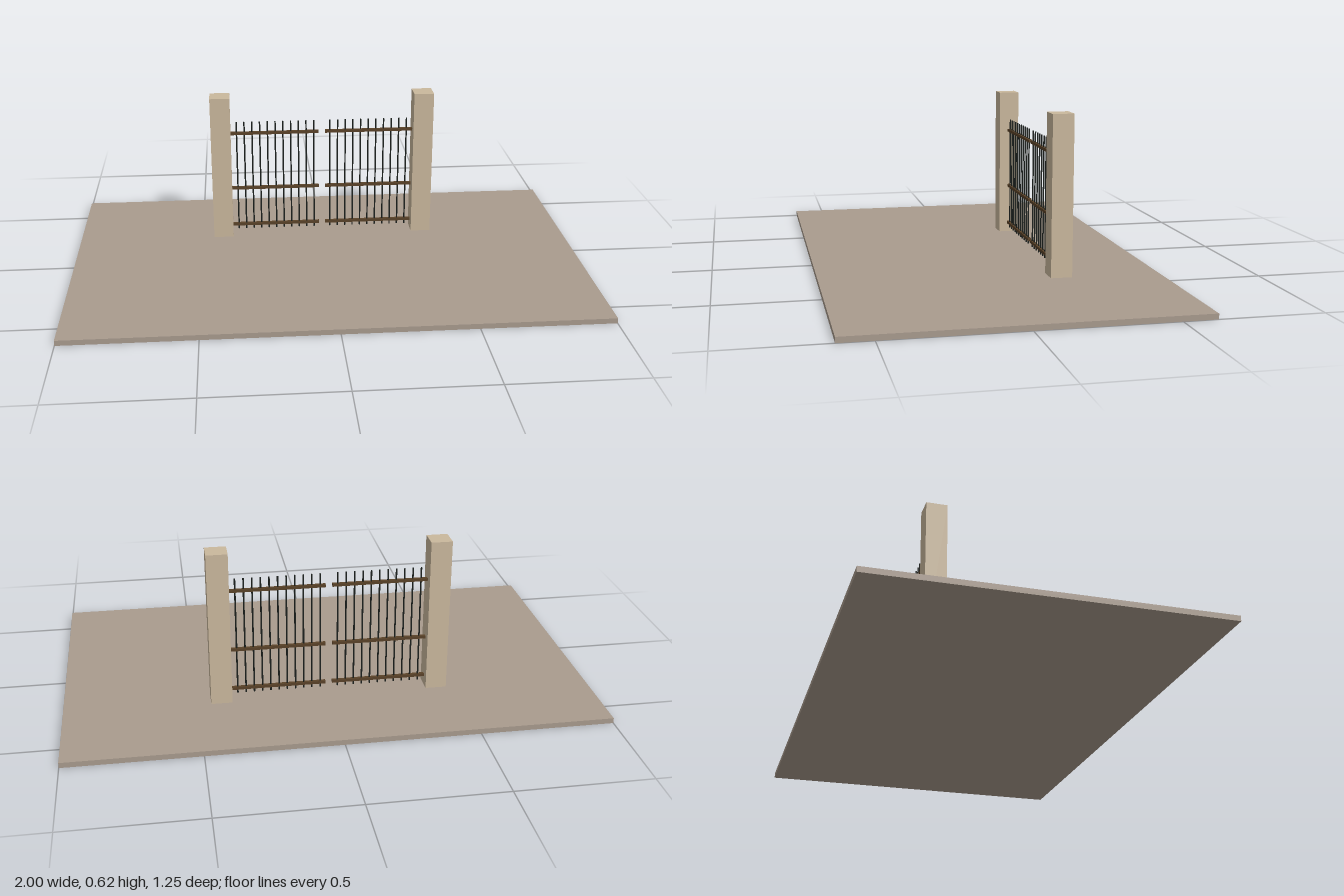
import * as THREE from 'three';

const mat = (name, color) => {
  const m = new THREE.MeshStandardMaterial({ color });
  m.name = name;
  return m;
};

export function createModel() {
  const group = new THREE.Group();
  const ground = mat('earth', 0xa99b8e);
  const stone = mat('sandstone', 0xcab89d);
  const wood = mat('brown rail', 0x5a4228);
  const iron = mat('dark iron', 0x1c211e);

  const box = (name, parent, material, size, pos) => {
    const mesh = new THREE.Mesh(new THREE.BoxGeometry(...size), material);
    mesh.name = name;
    mesh.position.set(...pos);
    parent.add(mesh);
  };

  box('groundSlab', group, ground, [2, 0.02, 1.246], [0, 0.01, 0]);

  // A pillar and a gate leaf on each side
  const gateZ = -0.25;
  for (const [side, s] of [['left', 1], ['right', -1]]) {
    box(side + 'Pillar', group, stone, [0.08, 0.6, 0.08], [s * 0.412, 0.32, gateZ]);

    const leaf = new THREE.Group();
    leaf.name = side + 'GateLeaf';
    group.add(leaf);

    // Horizontal rails
    for (const y of [0.06, 0.222, 0.46]) {
      box('rail', leaf, wood, [0.364, 0.011, 0.013], [s * 0.195, y, gateZ]);
    }

    // Vertical bars
    for (let i = 0; i < 11; i++) {
      const bar = new THREE.Mesh(new THREE.CylinderGeometry(0.003, 0.003, 0.468, 8), iron);
      bar.name = 'bar';
      bar.position.set(s * (0.033 + i * 0.0315), 0.274, gateZ);
      leaf.add(bar);
    }
  }
  return group;
}
